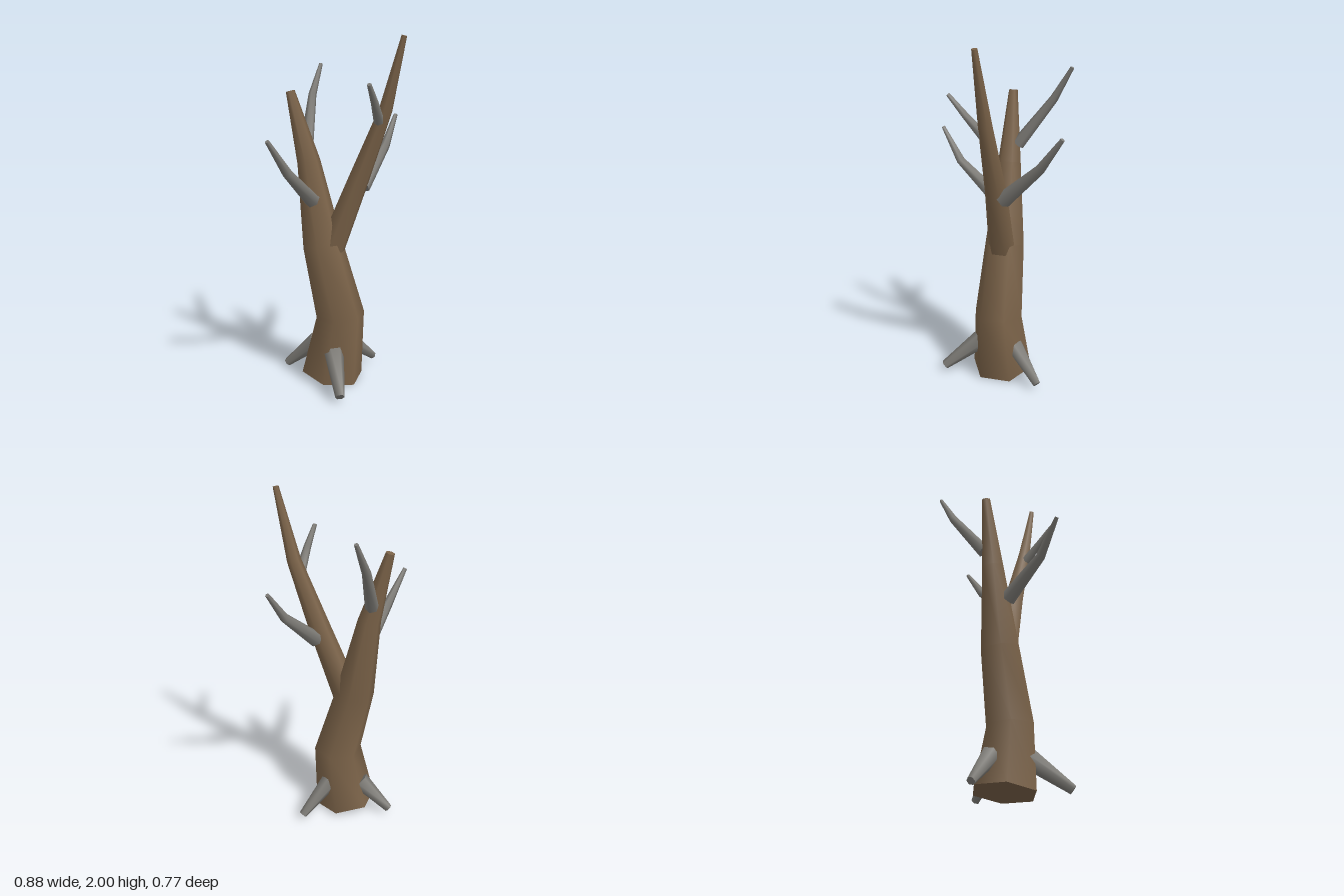
import * as THREE from 'three';

const bark = new THREE.MeshStandardMaterial({ color: 0x7a6248 });
bark.name = 'brown bark';
const deadWood = new THREE.MeshStandardMaterial({ color: 0x7d7b76 });
deadWood.name = 'grey wood';

const SIDES = 6;

// Tapered six-sided limb; each station is [x, y, z, radius].
function limb(name, material, stations) {
  const centres = stations.map(([x, y, z]) => new THREE.Vector3(x, y, z));
  const last = centres.length - 1;
  const rings = centres.map((c, i) => {
    const t = new THREE.Vector3();
    if (i > 0) t.add(c.clone().sub(centres[i - 1]).normalize());
    if (i < last) t.add(centres[i + 1].clone().sub(c).normalize());
    t.normalize();
    const u = new THREE.Vector3(1, 0, 0).addScaledVector(t, -t.x).normalize();
    const w = t.clone().cross(u);
    return Array.from({ length: SIDES }, (_, j) => {
      const a = (j / SIDES) * Math.PI * 2;
      return c.clone()
        .addScaledVector(u, Math.cos(a) * stations[i][3])
        .addScaledVector(w, Math.sin(a) * stations[i][3]);
    });
  });

  // Smooth side wall with shared vertices
  const points = rings.flat();
  const index = [];
  for (let i = 0; i < last; i++) {
    for (let j = 0; j < SIDES; j++) {
      const k = (j + 1) % SIDES;
      const a = i * SIDES + j, b = i * SIDES + k;
      index.push(a, b, a + SIDES, b, b + SIDES, a + SIDES);
    }
  }
  // Flat caps use their own vertices so that the rims stay sharp
  const start = points.length;
  points.push(...rings[0], ...rings[last]);
  for (let j = 1; j < SIDES - 1; j++) {
    index.push(start, start + j + 1, start + j);
    index.push(start + SIDES, start + SIDES + j, start + SIDES + j + 1);
  }

  const geometry = new THREE.BufferGeometry().setFromPoints(points);
  geometry.setIndex(index);
  geometry.computeVertexNormals();
  const mesh = new THREE.Mesh(geometry, material);
  mesh.name = name;
  return mesh;
}

export function createModel() {
  const tree = new THREE.Group();
  tree.name = 'deadTree';

  // Trunk and its large fork
  tree.add(limb('trunk', bark, [
    [-0.02, 0.024, 0.012, 0.185],
    [0.022, 0.4, 0.045, 0.145],
    [-0.07, 0.82, -0.015, 0.118],
    [-0.14, 1.3, -0.06, 0.068],
    [-0.235, 1.7, -0.105, 0.026],
  ]));
  tree.add(limb('fork', bark, [
    [-0.02, 0.81, 0.015, 0.08],
    [0.115, 1.2, 0.078, 0.063],
    [0.245, 1.6, 0.16, 0.04],
    [0.322, 1.996, 0.225, 0.016],
  ]));

  // Thin bare branches
  const branches = {
    leftwardBranch: [[-0.14, 1.09, 0.025, 0.046], [-0.31, 1.275, 0.2, 0.028], [-0.43, 1.46, 0.283, 0.012]],
    backBranch: [[-0.14, 1.4, -0.11, 0.038], [-0.065, 1.67, -0.3, 0.024], [0.006, 1.85, -0.38, 0.011]],
    rightwardBranch: [[0.15, 1.16, 0.045, 0.046], [0.335, 1.375, -0.11, 0.027], [0.427, 1.55, -0.2, 0.012]],
    frontTwig: [[0.207, 1.54, 0.165, 0.03], [0.155, 1.645, 0.25, 0.021], [0.1, 1.745, 0.327, 0.012]],
  };
  // Stubby roots
  const roots = {
    frontRoot: [[-0.04, 0.21, 0.13, 0.06], [-0.063, 0.035, 0.368, 0.027]],
    sideRoot: [[0.09, 0.205, -0.04, 0.055], [0.278, 0.037, -0.13, 0.024]],
    backRoot: [[-0.1, 0.2, -0.065, 0.055], [-0.263, 0.033, -0.165, 0.024]],
  };
  for (const [name, stations] of Object.entries({ ...branches, ...roots })) {
    tree.add(limb(name, deadWood, stations));
  }
  return tree;
}
